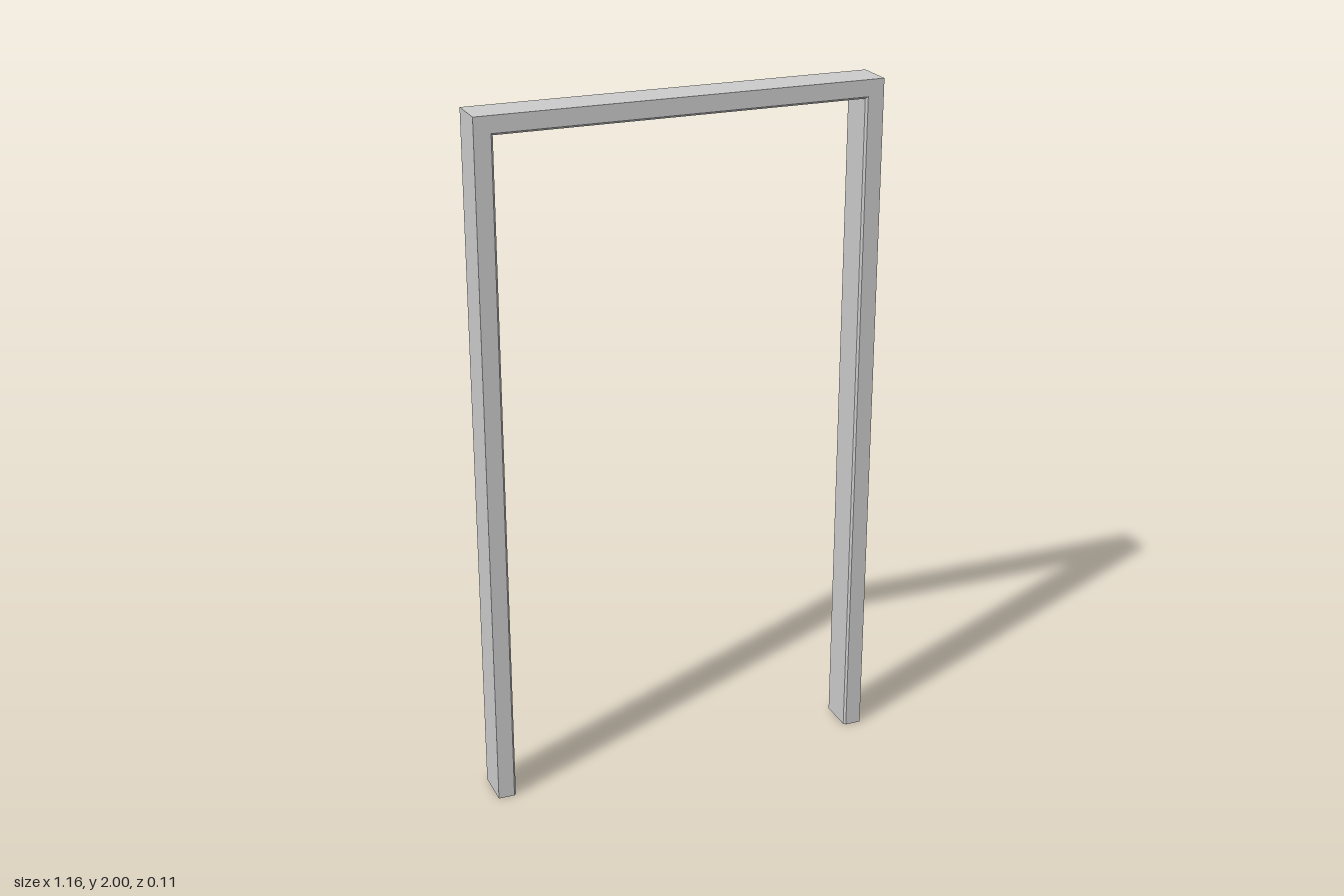
import * as THREE from 'three';

const HALF_WIDTH = 0.58, HEIGHT = 2, HALF_DEPTH = 0.057;
const FACE = 0.053, BEVEL = 0.006;

// Hollow cross-section: [inset from the outer edge, z]
const profile = [
  [0, -HALF_DEPTH],
  [0, HALF_DEPTH],
  [FACE - BEVEL, HALF_DEPTH],
  [FACE, HALF_DEPTH - BEVEL],
  [FACE, -HALF_DEPTH + BEVEL],
  [FACE - BEVEL, -HALF_DEPTH],
];

// Stations along the frame: foot, mitred corner, mitred corner, foot
const stations = [
  (u, z) => [-HALF_WIDTH + u, 0, z],
  (u, z) => [-HALF_WIDTH + u, HEIGHT - u, z],
  (u, z) => [HALF_WIDTH - u, HEIGHT - u, z],
  (u, z) => [HALF_WIDTH - u, 0, z],
];

// One length of the frame between two stations, left open at its ends
function frameMember(name, from, to, material) {
  const positions = [];
  profile.forEach((p, i) => {
    const q = profile[(i + 1) % profile.length];
    const a = from(...p), b = from(...q), c = to(...q), d = to(...p);
    positions.push(...a, ...b, ...c, ...a, ...c, ...d);
  });
  const geometry = new THREE.BufferGeometry();
  geometry.setAttribute('position', new THREE.Float32BufferAttribute(positions, 3));
  geometry.computeVertexNormals();
  const mesh = new THREE.Mesh(geometry, material);
  mesh.name = name;
  return mesh;
}

export function createModel() {
  const group = new THREE.Group();
  group.name = 'doorFrame';
  const material = new THREE.MeshStandardMaterial({
    color: 0xcccccc, flatShading: true, side: THREE.DoubleSide,
  });
  ['rightJamb', 'headJamb', 'leftJamb'].forEach((name, i) => {
    group.add(frameMember(name, stations[i], stations[i + 1], material));
  });
  return group;
}
